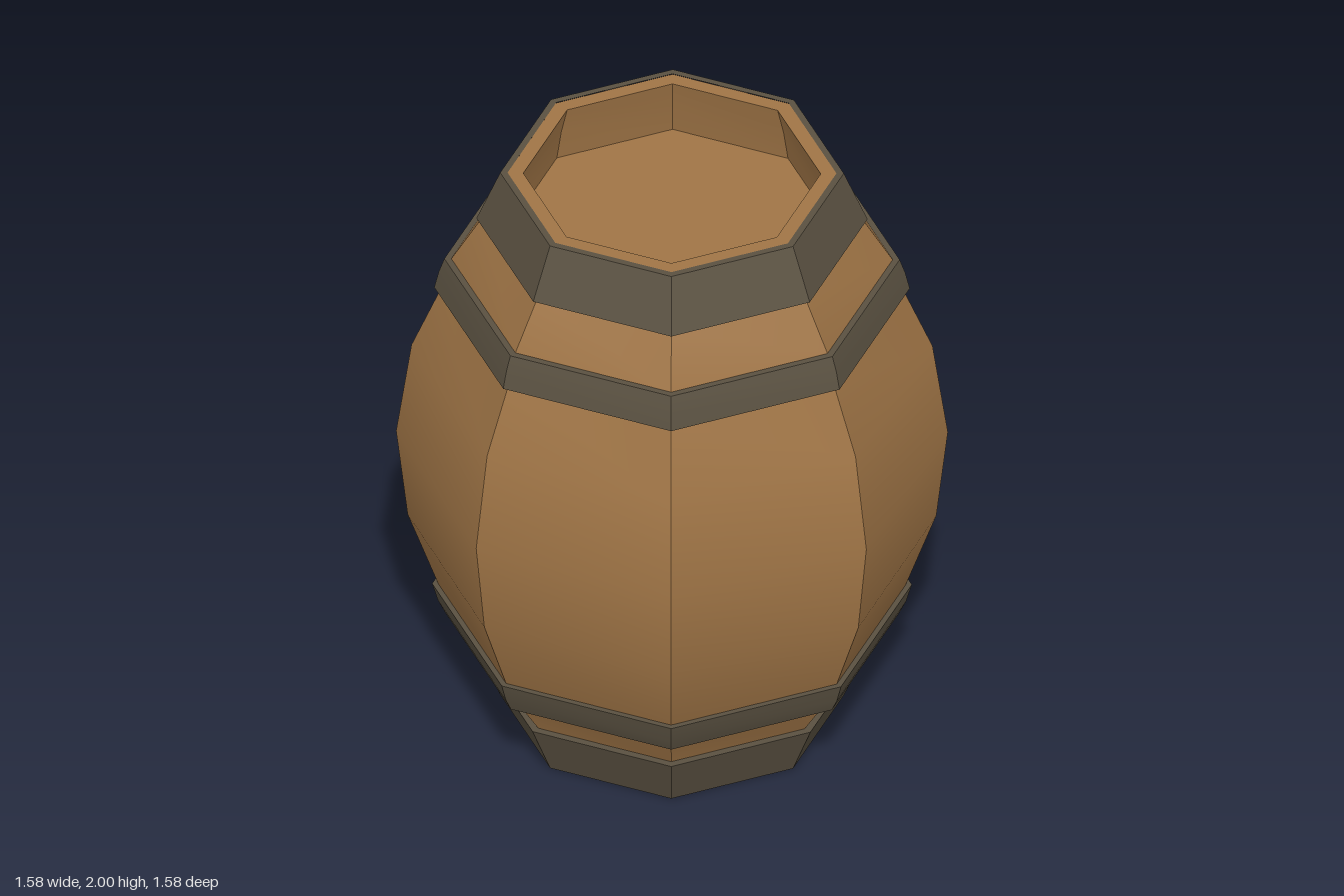
import * as THREE from 'three';
import { toCreasedNormals } from 'three/addons/utils/BufferGeometryUtils.js';

const SIDES = 8;
const START = THREE.MathUtils.degToRad(24.5); // slight twist of the octagon
const REACH = Math.sin(THREE.MathUtils.degToRad(69.5)); // half width / corner radius

// Eight-sided turned solid; profile is [half width, height], vertical curve smooth, corners sharp
function turned(name, profile, material) {
  const points = profile.map(([w, y]) => new THREE.Vector2(w / REACH, y));
  const lathe = new THREE.LatheGeometry(points, SIDES, START);
  const mesh = new THREE.Mesh(toCreasedNormals(lathe, 0.6), material);
  mesh.name = name;
  return mesh;
}

// Metal band: outer face from bottom to top, with ledges running back into the wood
function hoop(name, outer, inset, material) {
  const first = outer[0], last = outer[outer.length - 1];
  return turned(name, [
    [first[0] - inset, first[1]], ...outer, [last[0] - inset, last[1]],
  ], material);
}

export function createModel() {
  const barrel = new THREE.Group();
  barrel.name = 'barrel';
  const wood = new THREE.MeshStandardMaterial({ color: 0xa07546 });
  wood.name = 'wood';
  const metal = new THREE.MeshStandardMaterial({ color: 0x5a5141 });
  metal.name = 'dark metal';

  // Staves with thick rims at both ends and bulging sides
  barrel.add(turned('staves', [
    [0.468, 0.21], [0.45, 0.1], [0.426, 0.002], [0.472, 0.002],
    [0.54, 0.18], [0.622, 0.32], [0.668, 0.42], [0.757, 0.69], [0.79, 1.01],
    [0.746, 1.34], [0.66, 1.56], [0.632, 1.67], [0.542, 1.83],
    [0.472, 1.998], [0.426, 1.998], [0.45, 1.9], [0.468, 1.79],
  ], wood));

  // Recessed end boards
  barrel.add(turned('bottomBoard', [[0, 0.21], [0.468, 0.21]], wood));
  barrel.add(turned('topBoard', [[0.468, 1.79], [0, 1.79]], wood));

  // Metal hoops
  barrel.add(hoop('bottomHoop', [[0.492, 0], [0.563, 0.18]], 0.03, metal));
  barrel.add(hoop('lowerHoop', [[0.65, 0.315], [0.67, 0.36], [0.687, 0.425]], 0.045, metal));
  barrel.add(hoop('upperHoop', [[0.681, 1.56], [0.668, 1.62], [0.652, 1.67]], 0.04, metal));
  barrel.add(hoop('topHoop', [[0.56, 1.825], [0.492, 2]], 0.021, metal));

  return barrel;
}
